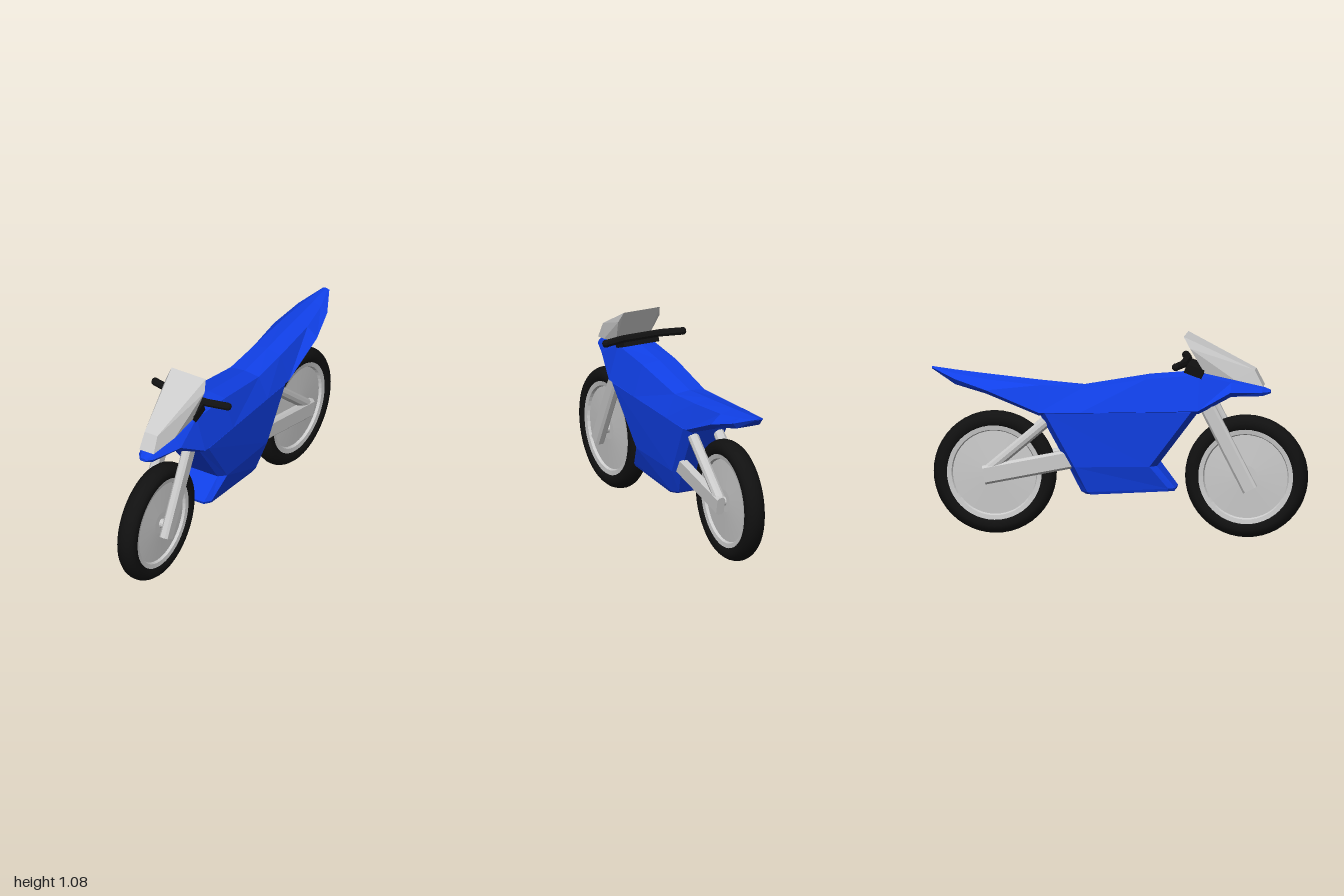
import * as THREE from 'three';
import { ConvexGeometry } from 'three/addons/geometries/ConvexGeometry.js';

const mat = (color, flatShading = true) => new THREE.MeshStandardMaterial({ color, flatShading });
const grey = mat(0xcccccc);
const blue = mat(0x1040e8);
const black = mat(0x111111);
const rubber = mat(0x111111, false);

function add(parent, name, geometry, material) {
  const mesh = new THREE.Mesh(geometry, material);
  mesh.name = name;
  parent.add(mesh);
  return mesh;
}

// Mirrors half a cross-section (first and last points lie on x = 0) into a full ring
const mirrorRing = half => [...half, ...half.slice(1, -1).reverse().map(([x, y, z]) => [-x, y, z])];

// Skins a row of rings and closes both ends
function loft(rings) {
  const n = rings[0].length, pos = rings.flat(2), index = [];
  for (let i = 0; i < rings.length - 1; i++) {
    for (let j = 0; j < n; j++) {
      const a = i * n + j, b = i * n + (j + 1) % n;
      index.push(a, b, a + n, b, b + n, a + n);
    }
  }
  const last = (rings.length - 1) * n;
  for (let j = 1; j < n - 1; j++) {
    index.push(0, j + 1, j, last, last + j, last + j + 1);
  }
  const g = new THREE.BufferGeometry();
  g.setAttribute('position', new THREE.Float32BufferAttribute(pos, 3));
  g.setIndex(index);
  g.computeVertexNormals();
  return g;
}

// Bar with chamfered edges running from a to b
function beam(parent, name, a, b, w, h, c) {
  const x = w / 2, y = h / 2;
  const shape = new THREE.Shape([
    [x - c, -y], [x, -y + c], [x, y - c], [x - c, y],
    [-x + c, y], [-x, y - c], [-x, -y + c], [-x + c, -y],
  ].map(p => new THREE.Vector2(...p)));
  const from = new THREE.Vector3(...a), to = new THREE.Vector3(...b);
  const g = new THREE.ExtrudeGeometry(shape, { depth: from.distanceTo(to), bevelEnabled: false });
  const mesh = add(parent, name, g, grey);
  mesh.position.copy(from);
  mesh.lookAt(to);
}

function wheel(name, z) {
  const group = new THREE.Group();
  group.name = name;
  const spin = half => {
    const pts = [...half, ...half.slice().reverse().map(([r, y]) => [r, -y])];
    return new THREE.LatheGeometry(pts.map(p => new THREE.Vector2(...p)), 48).rotateZ(Math.PI / 2);
  };
  add(group, 'tyre', spin([[0.25, -0.042], [0.262, -0.052], [0.285, -0.055], [0.305, -0.048],
    [0.319, -0.031], [0.326, -0.011]]), rubber);
  add(group, 'wheelDisc', spin([[0, -0.034], [0.06, -0.034], [0.222, -0.026], [0.228, -0.04], [0.26, -0.045]]), grey);
  add(group, 'axle', new THREE.CylinderGeometry(0.025, 0.025, 0.17, 12).rotateZ(Math.PI / 2), grey);
  group.position.set(0, 0.328, z);
  return group;
}

export function createModel() {
  const model = new THREE.Group();
  model.name = 'motorcycle';
  model.add(wheel('frontWheel', 0.672), wheel('rearWheel', -0.665));

  // Upper body from nose to tail: z, top y, edge x, edge y, side x, side y, underside y
  const upper = [
    [0.80, 0.79, 0.012, 0.788, 0.02, 0.78, 0.772],
    [0.76, 0.805, 0.035, 0.80, 0.05, 0.78, 0.76],
    [0.60, 0.845, 0.075, 0.835, 0.11, 0.785, 0.76],
    [0.43, 0.89, 0.10, 0.875, 0.155, 0.69, 0.67],
    [0.15, 0.86, 0.10, 0.85, 0.15, 0.68, 0.66],
    [-0.20, 0.80, 0.088, 0.79, 0.142, 0.668, 0.65],
    [-0.42, 0.822, 0.085, 0.805, 0.137, 0.665, 0.645],
    [-0.70, 0.85, 0.075, 0.83, 0.135, 0.78, 0.757],
    [-0.87, 0.868, 0.05, 0.855, 0.09, 0.83, 0.80],
    [-1.0, 0.885, 0.012, 0.883, 0.02, 0.88, 0.875],
  ];
  add(model, 'upperBody', loft(upper.map(([z, yt, we, ye, ws, ys, yu]) => mirrorRing([
    [0, yt, z], [we, ye, z], [ws, ys, z], [ws * 0.75, yu, z], [0, yu, z],
  ]))), blue);

  // Lower body from belly upward: front y, front z, front x, rear y, rear z, rear x
  const lower = [
    [0.25, 0.295, 0.085, 0.226, -0.175, 0.085],
    [0.265, 0.30, 0.09, 0.24, -0.20, 0.092],
    [0.385, 0.205, 0.126, 0.375, -0.265, 0.122],
    [0.685, 0.43, 0.154, 0.66, -0.42, 0.136],
  ];
  add(model, 'lowerBody', loft(lower.map(([yf, zf, wf, yr, zr, wr]) => mirrorRing([
    [0, yf, zf], [wf * 0.7, yf, zf], [wf, yf, zf - 0.035],
    [wr, yr, zr + 0.035], [wr * 0.7, yr, zr], [0, yr, zr],
  ]))), blue);

  // Faceted front fairing
  const fairing = [
    [0.107, 1.08, 0.35], [0.122, 1.02, 0.385], [0.096, 0.885, 0.46],
    [0.085, 0.85, 0.62], [0.045, 0.812, 0.765], [0.04, 0.90, 0.72],
  ].flatMap(([x, y, z]) => [new THREE.Vector3(x, y, z), new THREE.Vector3(-x, y, z)]);
  add(model, 'frontFairing', new ConvexGeometry(fairing), grey);

  // Handlebar and its clamp
  const bar = new THREE.CurvePath();
  const barPts = [[-0.23, 0.935, 0.322], [-0.11, 0.935, 0.35], [0.11, 0.935, 0.35], [0.23, 0.935, 0.322]]
    .map(p => new THREE.Vector3(...p));
  for (let i = 0; i < 3; i++) bar.add(new THREE.LineCurve3(barPts[i], barPts[i + 1]));
  add(model, 'handlebar', new THREE.TubeGeometry(bar, 24, 0.021, 8), black);
  for (const s of [-1, 1]) {
    const cap = add(model, 'handlebarEnd', new THREE.SphereGeometry(0.021, 8, 6), black);
    cap.position.set(s * 0.228, 0.935, 0.322);
  }
  const clamp = add(model, 'handlebarClamp', new THREE.BoxGeometry(0.208, 0.05, 0.1), black);
  clamp.position.set(0, 0.895, 0.405);
  clamp.rotation.x = 0.35;

  // Fork legs, swingarm and shock struts on both sides
  for (const s of [-1, 1]) {
    beam(model, 'forkLeg', [s * 0.081, 0.265, 0.70], [s * 0.081, 0.72, 0.465], 0.05, 0.08, 0.012);
    beam(model, 'swingarm', [s * 0.083, 0.425, -0.2], [s * 0.083, 0.32, -0.715], 0.045, 0.1, 0.012);
    const a = new THREE.Vector3(s * 0.075, 0.63, -0.36), b = new THREE.Vector3(s * 0.075, 0.35, -0.69);
    add(model, 'shockStrut', new THREE.TubeGeometry(new THREE.LineCurve3(a, b), 1, 0.03, 10), grey);
  }
  return model;
}
